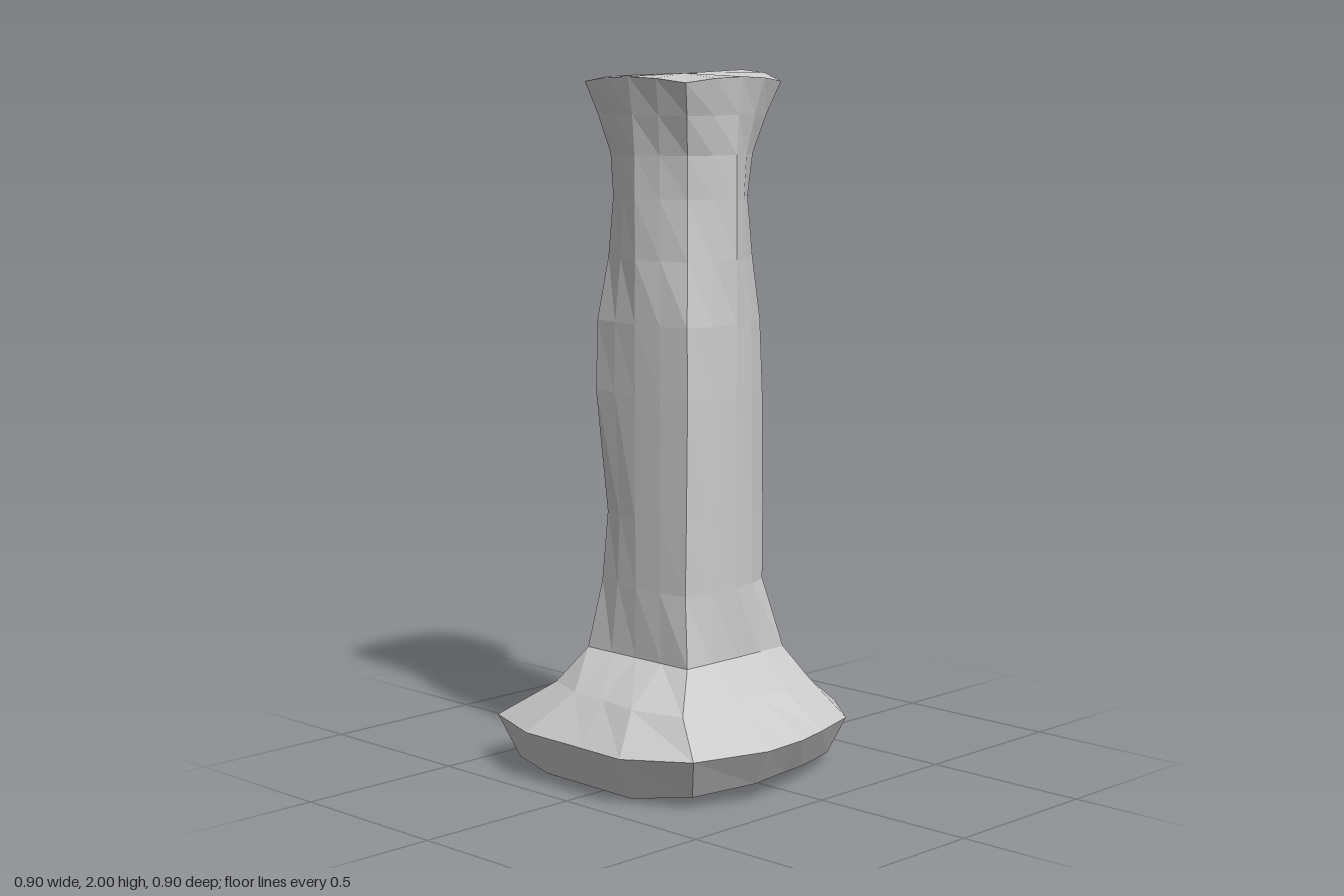
import * as THREE from 'three';

// Ring of 16 points running back-left > back-right > front-right > front-left.
// corners: four [x, z]; mids: outermost [back z, right x, front z, left x] of each side.
function section(y, corners, mids, full = 0.6, peak = null) {
  const ring = [];
  for (let s = 0; s < 4; s++) {
    const a = corners[s], b = corners[(s + 1) % 4];
    const mid = [(a[0] + b[0]) / 2, (a[1] + b[1]) / 2];
    if (s % 2 === 0) { mid[0] = 0; mid[1] = mids[s]; } else { mid[0] = mids[s]; mid[1] = -0.03; }
    const out = s % 2 === 0 ? 1 : 0;
    const quarter = (c) => {
      const q = [(c[0] + mid[0]) / 2, (c[1] + mid[1]) / 2];
      q[out] = c[out] + (mid[out] - c[out]) * full;
      return q;
    };
    const my = peak ? peak[s] : y;
    const qy = y + (my - y) * 0.75;
    const q0 = quarter(a), q1 = quarter(b);
    ring.push([a[0], y, a[1]], [q0[0], qy, q0[1]], [mid[0], my, mid[1]], [q1[0], qy, q1[1]]);
  }
  return ring;
}

// Flat-shaded skin over a stack of rings, optionally closed by a fan at either end.
function skin(name, rings, { bottom, top } = {}) {
  const pos = [];
  const tri = (...pts) => pts.forEach((p) => pos.push(...p));
  const n = rings[0].length;
  for (let r = 0; r + 1 < rings.length; r++) {
    for (let i = 0; i < n; i++) {
      const j = (i + 1) % n, lo = rings[r], hi = rings[r + 1];
      tri(lo[i], hi[j], lo[j]);
      tri(lo[i], hi[i], hi[j]);
    }
  }
  const last = rings[rings.length - 1];
  for (let i = 0; i < n; i++) {
    const j = (i + 1) % n;
    if (bottom) tri(bottom, rings[0][i], rings[0][j]);
    if (top) tri(top, last[j], last[i]);
  }
  const geo = new THREE.BufferGeometry();
  geo.setAttribute('position', new THREE.Float32BufferAttribute(pos, 3));
  geo.computeVertexNormals();
  const mesh = new THREE.Mesh(geo, new THREE.MeshStandardMaterial({ color: 0xcccccc, flatShading: true }));
  mesh.name = name;
  return mesh;
}

export function createModel() {
  const group = new THREE.Group();
  group.name = 'stonePillar';

  // Irregular widest outline of the foot, and the slope above it
  const rim = [
    [-0.36, -0.44], [-0.15, -0.45], [0, -0.442], [0.21, -0.447],
    [0.39, -0.365], [0.45, -0.18], [0.44, 0], [0.435, 0.165],
    [0.32, 0.31], [0.13, 0.385], [0, 0.425], [-0.16, 0.447],
    [-0.36, 0.355], [-0.45, 0.16], [-0.445, 0], [-0.44, -0.23],
  ];
  const slope = [
    [-0.27, -0.285], [-0.12, -0.285], [0, -0.297], [0.1, -0.295],
    [0.265, -0.315], [0.297, -0.155], [0.285, -0.03], [0.3, 0.1],
    [0.255, 0.23], [0.11, 0.255], [0, 0.265], [-0.12, 0.275],
    [-0.31, 0.265], [-0.35, 0.105], [-0.33, -0.03], [-0.32, -0.155],
  ];
  const rimY = [0.14, 0.14, 0.14, 0.14, 0.14, 0.14, 0.14, 0.145, 0.14, 0.15, 0.155, 0.16, 0.15, 0.14, 0.14, 0.14];
  const soleY = [0.01, 0.01, 0.015, 0, 0.01, 0.03, 0.03, 0.035, 0.03, 0.04, 0.05, 0.05, 0.03, 0.01, 0.01, 0.01];

  const collar = section(0.35, [[-0.2, -0.225], [0.2, -0.225], [0.2, 0.17], [-0.2, 0.175]], [-0.228, 0.2, 0.175, -0.2]);
  group.add(skin('base', [
    rim.map(([x, z], i) => [x * (x > 0 ? 0.92 : 0.85), soleY[i], z * (z > 0 ? 0.84 : 0.92)]),
    rim.map(([x, z], i) => [x, rimY[i], z]),
    slope.map(([x, z]) => [x, 0.25, z]),
    collar,
  ], { bottom: [0, 0.02, -0.03] }));

  // Shaft: sides stay nearly upright while the worn corners pull in and out
  const shaftMids = [-0.227, 0.2, 0.173, -0.2];
  const neckMids = [-0.225, 0.18, 0.172, -0.198];
  const neck = section(1.77, [[-0.15, -0.175], [0.13, -0.17], [0.13, 0.11], [-0.148, 0.125]], neckMids);
  group.add(skin('shaft', [
    collar,
    section(0.55, [[-0.175, -0.19], [0.17, -0.205], [0.16, 0.125], [-0.182, 0.15]], shaftMids, 0.7),
    section(0.75, [[-0.165, -0.177], [0.172, -0.2], [0.167, 0.12], [-0.18, 0.152]], shaftMids, 0.7),
    section(1.1, [[-0.187, -0.2], [0.175, -0.195], [0.17, 0.113], [-0.178, 0.155]], shaftMids, 0.7),
    section(1.3, [[-0.18, -0.2], [0.17, -0.19], [0.162, 0.11], [-0.175, 0.15]], [-0.226, 0.192, 0.173, -0.2], 0.65),
    section(1.48, [[-0.155, -0.18], [0.14, -0.175], [0.135, 0.105], [-0.152, 0.13]], neckMids),
    section(1.65, [[-0.145, -0.17], [0.122, -0.165], [0.12, 0.1], [-0.143, 0.12]], neckMids),
    neck,
  ]));

  // Flared head with gently arched upper edges
  group.add(skin('head', [
    neck,
    section(1.88, [[-0.175, -0.2], [0.165, -0.2], [0.16, 0.135], [-0.175, 0.15]], [-0.232, 0.2, 0.18, -0.207], 0.65),
    section(1.97, [[-0.2, -0.226], [0.2, -0.23], [0.19, 0.162], [-0.205, 0.175]], [-0.25, 0.235, 0.195, -0.222], 0.75,
      [1.985, 2.0, 1.985, 1.985]),
  ], { top: [0, 1.992, -0.03] }));

  return group;
}
